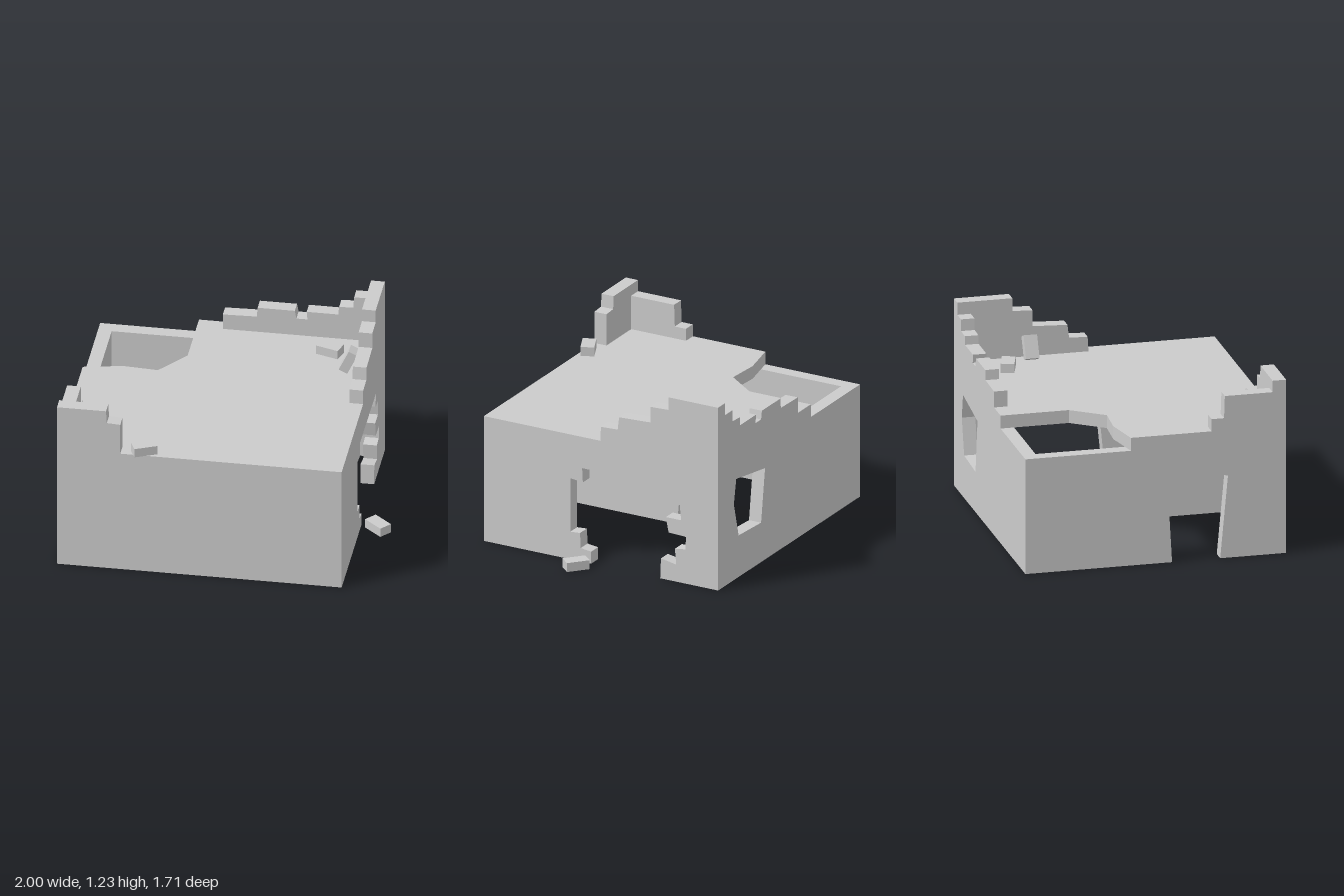
import * as THREE from 'three';

const T = 0.087;       // wall thickness
const CEILING = 0.755; // underside of the roof slab
const ROOF = 0.84;     // top of the roof slab
const X0 = -1, X1 = 0.8, Z0 = -0.86, Z1 = 0.82;

const material = new THREE.MeshStandardMaterial({ color: 0xcccccc, flatShading: true });

const toPoints = (list) => list.map(([a, b]) => new THREE.Vector2(a, b));

function plate(outline, depth, hole) {
  const shape = new THREE.Shape(toPoints(outline));
  if (hole) shape.holes.push(new THREE.Path(toPoints(hole)));
  return new THREE.ExtrudeGeometry(shape, { depth, bevelEnabled: false });
}

export function createModel() {
  const model = new THREE.Group();
  model.name = 'ruinedHouse';

  function add(name, geometry, x = 0, y = 0, z = 0) {
    const mesh = new THREE.Mesh(geometry, material);
    mesh.name = name;
    mesh.position.set(x, y, z);
    model.add(mesh);
    return mesh;
  }
  // Wall running along x, outline in (x, y), back face at z
  const wallAlongX = (name, z, outline, hole) => add(name, plate(outline, T, hole), 0, 0, z);
  // Wall running along z, outline in (z, y), +x face at x
  const wallAlongZ = (name, x, outline, hole) => {
    add(name, plate(outline, T, hole), x).rotation.y = -Math.PI / 2;
  };
  const rect = (a, b) => [[a, 0], [b, 0], [b, CEILING], [a, CEILING]];

  // Front wall and back wall with a broken window
  wallAlongX('frontWall', Z1 - T, rect(X0, X1));
  wallAlongX('backWall', Z0, rect(X0, X1),
    [[0.57, 0.67], [0.205, 0.615], [0.255, 0.265], [0.54, 0.28], [0.6, 0.51]]);

  // Left wall with a crooked doorway
  const zA = Z0 + T, zB = Z1 - T;
  wallAlongZ('leftWall', X0 + T, [
    [zA, 0], [0.085, 0], [0.05, 0.625], [0.445, 0.54], [0.395, 0],
    [zB, 0], [zB, CEILING], [zA, CEILING],
  ]);

  // Right wall with a large jagged breach
  wallAlongZ('rightWall', X1, [
    [zA, 0], [-0.445, 0], [-0.45, 0.135], [-0.56, 0.115], [-0.55, 0.22],
    [-0.625, 0.23], [-0.63, 0.315], [-0.505, 0.32], [-0.485, 0.42],
    [-0.595, 0.42], [-0.585, 0.52], [-0.505, 0.53], [-0.51, 0.62],
    [0.115, 0.63], [0.11, 0.535], [0.2, 0.545], [0.2, 0.185],
    [0.13, 0.19], [0.125, 0.09], [0.05, 0.08], [0.05, 0],
    [zB, 0], [zB, CEILING], [zA, CEILING],
  ]);

  // Inner partition with a leaning end
  wallAlongZ('partition', -0.04, [[-0.09, 0], [zB, 0], [zB, CEILING], [-0.165, CEILING]]);

  // Roof slab, broken away at one back corner; outline in (x, z)
  const roof = add('roofSlab', plate([
    [X0, -0.18], [-0.75, -0.23], [-0.53, -0.215], [-0.375, -0.42],
    [-0.375, Z0], [X1, Z0], [X1, Z1], [X0, Z1],
  ], ROOF - CEILING), 0, ROOF, 0);
  roof.rotation.x = Math.PI / 2;

  // Crumbling parapets on the roof
  wallAlongX('frontParapet', Z1 - T, [
    [X0, ROOF], [-0.6, ROOF], [-0.6, 1.05], [-0.685, 1.055], [-0.69, 1.14], [X0, 1.14],
  ]);
  wallAlongZ('leftParapet', X0 + T, [
    [0.34, ROOF], [zB, ROOF], [zB, 1.065], [0.425, 1.065], [0.42, 0.92], [0.34, 0.92],
  ]);
  wallAlongX('backParapet', Z0, [
    [-0.21, ROOF], [X1 - T, ROOF], [X1 - T, 1.15], [0.62, 1.15], [0.615, 1.075],
    [0.525, 1.07], [0.52, 1.015], [0.32, 1.015], [0.325, 0.96], [0.255, 0.96],
    [0.245, 1.015], [0.01, 1.015], [0.005, 0.95], [-0.21, 0.945],
  ]);
  wallAlongZ('rightParapet', X1, [
    [Z0, ROOF], [-0.015, ROOF], [-0.02, 0.935], [-0.14, 0.94], [-0.15, 1.025],
    [-0.375, 1.035], [-0.375, 1.14], [-0.505, 1.145], [-0.505, 1.23], [Z0, 1.23],
  ]);

  // Loose bricks: position, then rotation about y and z
  const bricks = [
    [0.912, 0.03, 0.095, -0.72, 0],
    [-0.455, 0.87, 0.78, 0.42, 0],
    [0.497, 0.87, -0.588, -0.31, 0],
    [0.648, 0.92, -0.405, 0, 1.13],
  ];
  for (const [x, y, z, ry, rz] of bricks) {
    add('looseBrick', new THREE.BoxGeometry(0.15, 0.06, 0.087), x, y, z).rotation.set(0, ry, rz);
  }
  return model;
}
